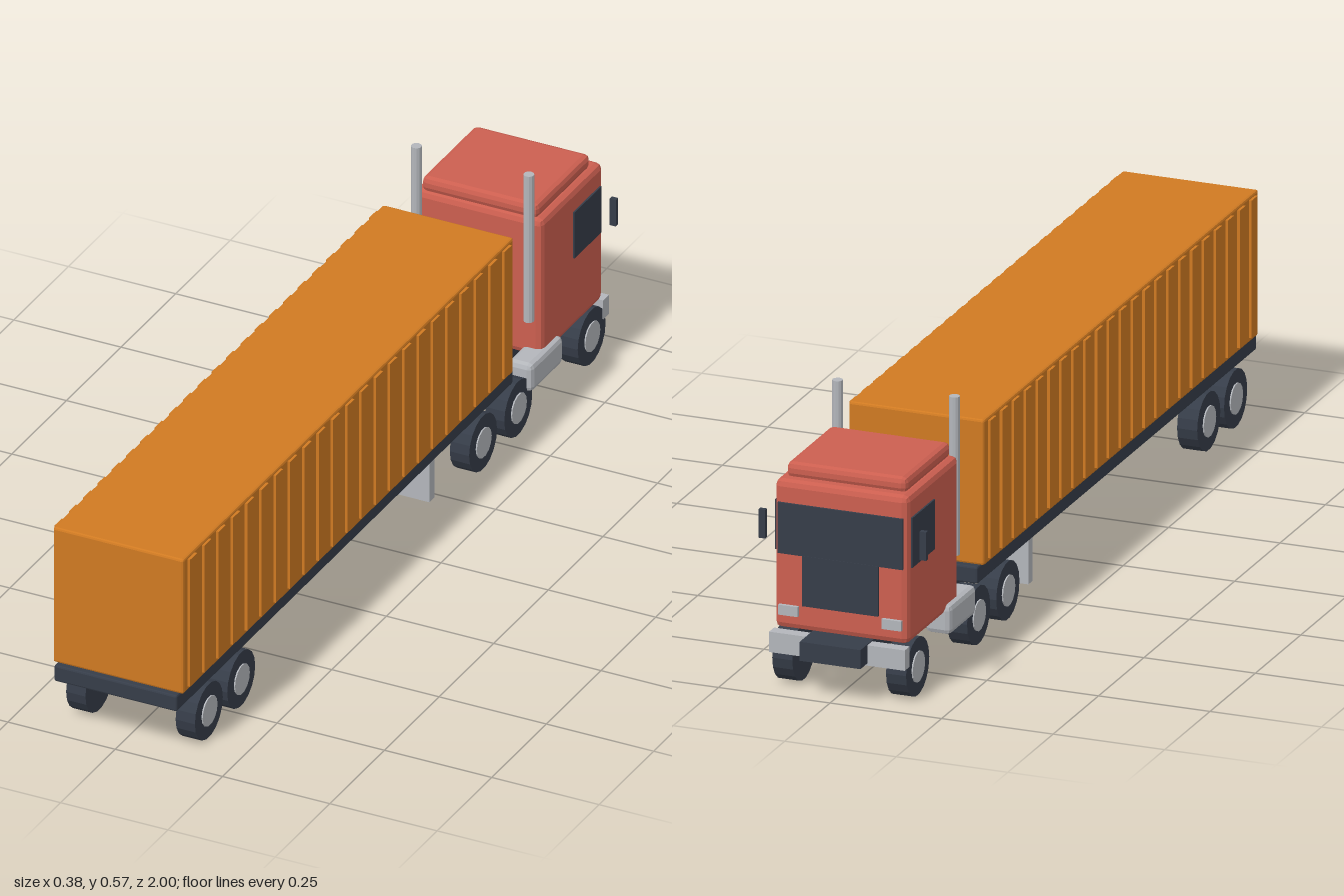
import * as THREE from 'three';
import { RoundedBoxGeometry } from 'three/addons/geometries/RoundedBoxGeometry.js';

const paint = (name, color, flatShading = true) => {
  const m = new THREE.MeshStandardMaterial({ color, flatShading });
  m.name = name;
  return m;
};

export function createModel() {
  const orange = paint('container orange', 0xd07a22);
  const red = paint('cab red', 0xcc5f50);
  const dark = paint('dark slate', 0x363d49);
  const grey = paint('light grey', 0xb3b6bb);

  const truck = new THREE.Group();
  truck.name = 'containerTruck';
  const trailer = new THREE.Group();
  trailer.name = 'trailer';
  const tractor = new THREE.Group();
  tractor.name = 'tractor';
  truck.add(trailer, tractor);

  const add = (parent, name, geometry, material, x = 0, y = 0, z = 0) => {
    const mesh = new THREE.Mesh(geometry, material);
    mesh.name = name;
    mesh.position.set(x, y, z);
    parent.add(mesh);
    return mesh;
  };

  // Box given by its lower and upper limits on each axis, bevelled if asked
  const box = (parent, name, material, [x0, x1], [y0, y1], [z0, z1], bevel = 0) => {
    const size = [x1 - x0, y1 - y0, z1 - z0];
    const geometry = bevel
      ? new RoundedBoxGeometry(...size, 1, bevel)
      : new THREE.BoxGeometry(...size);
    return add(parent, name, geometry, material, (x0 + x1) / 2, (y0 + y1) / 2, (z0 + z1) / 2);
  };

  // Same box on both sides of the vehicle
  const pair = (parent, name, material, [x0, x1], y, z, bevel) => {
    box(parent, name + 'Left', material, [x0, x1], y, z, bevel);
    box(parent, name + 'Right', material, [-x1, -x0], y, z, bevel);
  };

  // Tyre with a hub cap on the outer face, left and right
  const tyre = new THREE.CylinderGeometry(0.064, 0.064, 0.045, 18).rotateZ(Math.PI / 2);
  const hub = new THREE.CylinderGeometry(0.034, 0.034, 0.01, 14).rotateZ(Math.PI / 2);
  const axle = (parent, name, z) => {
    for (const side of [1, -1]) {
      const wheel = new THREE.Group();
      wheel.name = name + (side > 0 ? 'Left' : 'Right');
      wheel.position.set(side * 0.1275, 0.064, z);
      add(wheel, 'tyre', tyre, dark);
      add(wheel, 'hub', hub, grey, side * 0.0205);
      parent.add(wheel);
    }
  };

  // Trailer: deck, container with corrugated sides, landing leg, rear axles
  box(trailer, 'deck', dark, [-0.143, 0.143], [0.127, 0.165], [-0.54, 1], 0.004);
  box(trailer, 'container', orange, [-0.152, 0.152], [0.164, 0.486], [-0.525, 0.987], 0.005);
  const ribs = 23, pitch = 1.505 / ribs;
  for (let i = 0; i < ribs; i++) {
    const z = -0.521 + (i + 0.25) * pitch;
    pair(trailer, 'containerRib', orange, [0.15, 0.158], [0.175, 0.479], [z, z + pitch / 2]);
  }
  box(trailer, 'landingLeg', grey, [-0.125, 0.125], [0.015, 0.13], [-0.215, -0.192]);
  axle(trailer, 'trailerRearWheel', 0.866);
  axle(trailer, 'trailerMiddleWheel', 0.718);

  // Tractor frame and axles
  box(tractor, 'frame', dark, [-0.068, 0.068], [0.085, 0.127], [-1, -0.33]);
  axle(tractor, 'driveWheelRear', -0.389);
  axle(tractor, 'driveWheelFront', -0.55);
  axle(tractor, 'steeringWheel', -0.886);

  // Cab shell and roof cap
  box(tractor, 'cab', red, [-0.15, 0.15], [0.127, 0.455], [-0.94, -0.657], 0.014);
  box(tractor, 'roofCap', red, [-0.135, 0.135], [0.45, 0.485], [-0.912, -0.664], 0.012);

  // Glass, grille, lamps and bumper; the cab faces -z
  box(tractor, 'windscreen', dark, [-0.14, 0.14], [0.295, 0.407], [-0.945, -0.937]);
  box(tractor, 'grille', dark, [-0.085, 0.085], [0.185, 0.296], [-0.946, -0.937]);
  pair(tractor, 'sideWindow', dark, [0.146, 0.154], [0.295, 0.405], [-0.924, -0.8]);
  pair(tractor, 'headlamp', grey, [0.094, 0.138], [0.16, 0.182], [-0.948, -0.935]);
  box(tractor, 'bumper', grey, [-0.152, 0.152], [0.08, 0.125], [-0.962, -0.935]);
  pair(tractor, 'mirror', dark, [0.173, 0.188], [0.318, 0.381], [-0.933, -0.922]);

  // Exhaust stacks and fuel tanks behind the cab
  const stack = new THREE.CylinderGeometry(0.0115, 0.0115, 0.35, 12);
  for (const side of [1, -1]) {
    add(tractor, side > 0 ? 'exhaustLeft' : 'exhaustRight', stack, grey, side * 0.131, 0.4, -0.636);
  }
  pair(tractor, 'fuelTank', grey, [0.104, 0.162], [0.081, 0.147], [-0.736, -0.588], 0.012);

  return truck;
}
